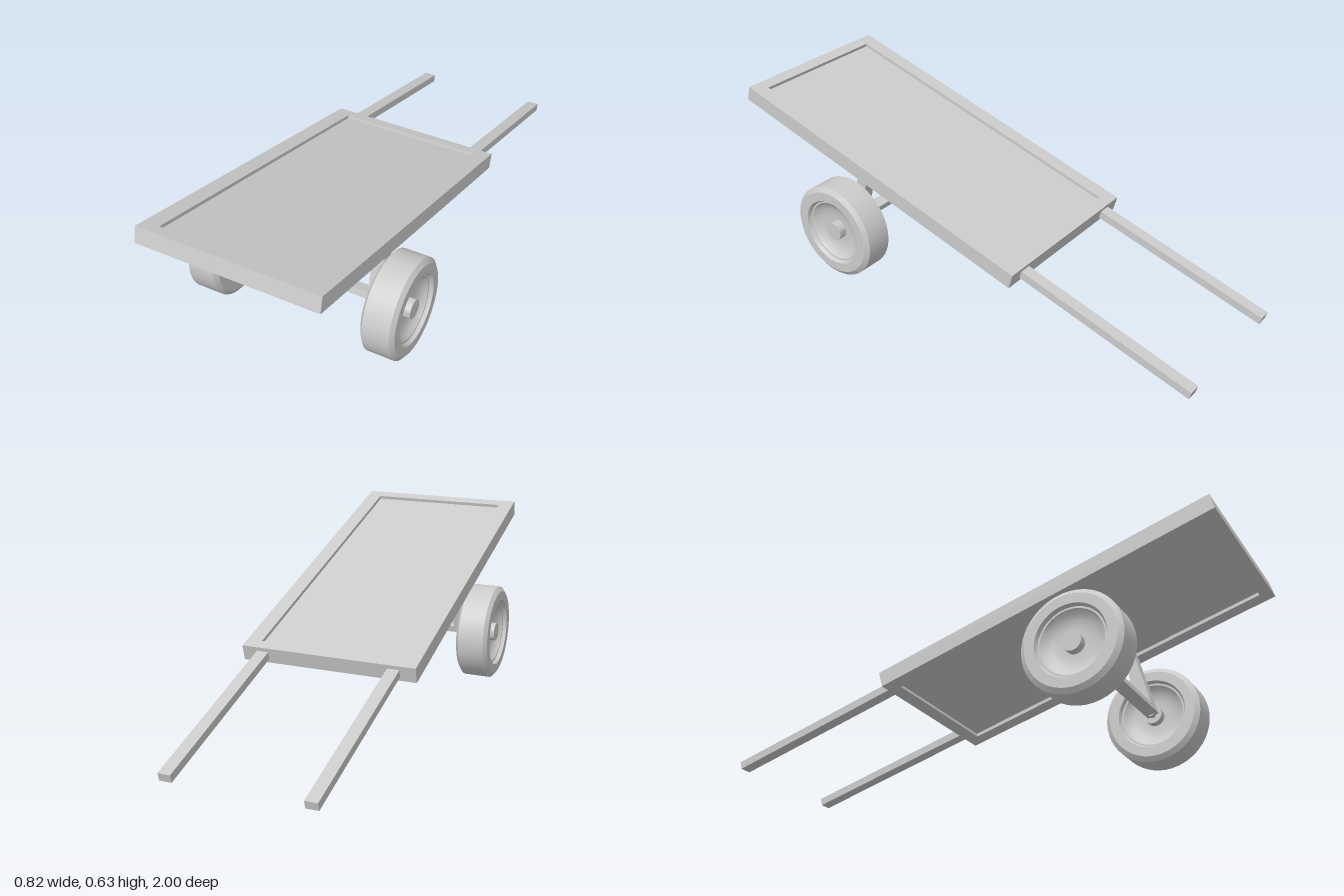
import * as THREE from 'three';
import { toCreasedNormals } from 'three/addons/utils/BufferGeometryUtils.js';

const material = new THREE.MeshStandardMaterial({ color: 0xcccccc });

function add(parent, name, geometry, x = 0, y = 0, z = 0) {
  const mesh = new THREE.Mesh(geometry, material);
  mesh.name = name;
  mesh.position.set(x, y, z);
  parent.add(mesh);
  return mesh;
}

// Rectangular frame lying flat, centred on the origin
function frameGeometry(halfW, halfL, innerW, innerL, thickness) {
  const rect = (w, l) => [[-w, -l], [w, -l], [w, l], [-w, l]].map(([x, y]) => new THREE.Vector2(x, y));
  const shape = new THREE.Shape(rect(halfW, halfL));
  shape.holes.push(new THREE.Path(rect(innerW, innerL).reverse()));
  const geometry = new THREE.ExtrudeGeometry(shape, { depth: thickness, bevelEnabled: false });
  return geometry.translate(0, 0, -thickness / 2).rotateX(Math.PI / 2);
}

// Tyre, stepped rim, dished disc and hub as one symmetric turned profile
function wheelGeometry() {
  const half = [
    [0, 0.055], [0.036, 0.055], [0.036, 0.024], [0.06, 0.024], [0.085, 0.028],
    [0.105, 0.037], [0.119, 0.05], [0.126, 0.05], [0.133, 0.064],
    [0.169, 0.064], [0.187, 0.051],
  ];
  const profile = [
    ...half.map(([r, h]) => new THREE.Vector2(r, -h)),
    ...half.slice().reverse().map(([r, h]) => new THREE.Vector2(r, h)),
  ];
  const geometry = new THREE.LatheGeometry(profile, 48).rotateZ(-Math.PI / 2);
  return toCreasedNormals(geometry, 0.5);
}

export function createModel() {
  const cart = new THREE.Group();
  cart.name = 'handcart';

  // Everything but the wheels leans back onto the handles
  const body = new THREE.Group();
  body.name = 'tiltedBody';
  body.position.set(0, 0.4325, 0.345);
  body.rotation.x = -Math.PI / 12;
  cart.add(body);

  // Bed: frame with a panel recessed on both faces
  add(body, 'bedFrame', frameGeometry(0.336, 0.67, 0.277, 0.625, 0.06));
  add(body, 'bedPanel', new THREE.BoxGeometry(0.56, 0.034, 1.256));

  // Handles and axle legs
  const axleY = -0.275, axleZ = 0.09;
  for (const [side, x] of [['right', -0.252], ['left', 0.256]]) {
    add(body, side + 'Handle', new THREE.BoxGeometry(0.046, 0.03, 0.738), x, 0, -1.02);
    add(body, side + 'Leg', new THREE.BoxGeometry(0.046, 0.265, 0.046), x, axleY + 0.1265, axleZ);
  }
  add(body, 'axle', new THREE.BoxGeometry(0.574, 0.027, 0.046), 0, axleY, axleZ);

  // Wheels, with a short stub joining each to the axle
  const wheel = wheelGeometry();
  const stub = new THREE.CylinderGeometry(0.016, 0.016, 0.06, 16).rotateZ(Math.PI / 2);
  for (const [side, s] of [['right', -1], ['left', 1]]) {
    add(cart, side + 'Wheel', wheel, s * 0.348, 0.187, 0.501);
    add(cart, side + 'AxleStub', stub, s * 0.3, 0.187, 0.501);
  }
  return cart;
}
